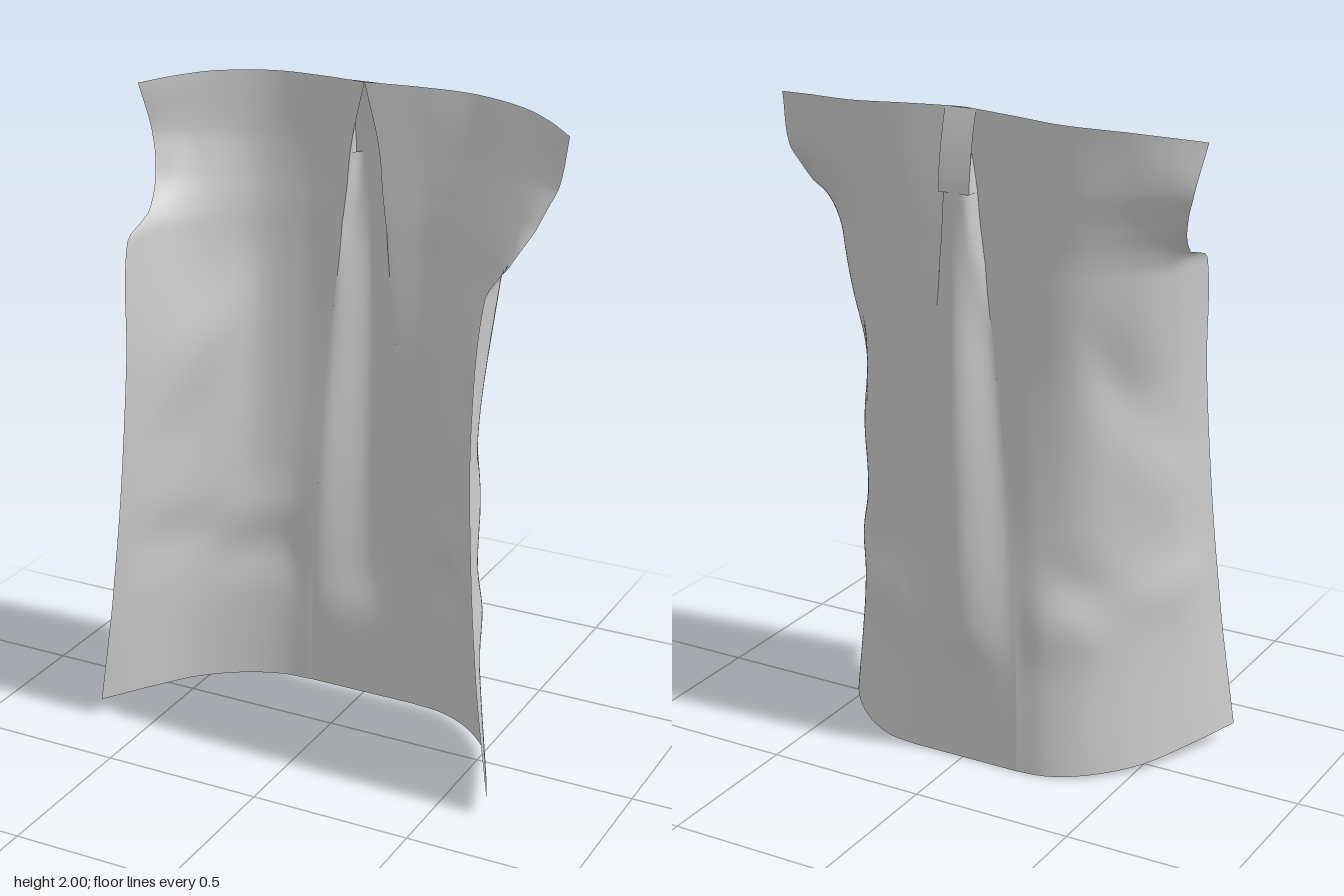
import * as THREE from 'three';

const material = new THREE.MeshStandardMaterial({ color: 0xcccccc, side: THREE.DoubleSide, roughness: 0.9 });

// Half cross-sections from hem to shoulder: height, then [x, z] from pleat to outer edge
const sections = [
  [0.00, [.18, -.232], [.28, -.218], [.39, -.16], [.50, -.05], [.58, .10], [.66, .28]],
  [0.35, [.17, -.218], [.26, -.20], [.37, -.14], [.475, -.03], [.555, .11], [.618, .275]],
  [0.75, [.145, -.203], [.24, -.19], [.345, -.145], [.45, -.035], [.53, .11], [.58, .262]],
  [1.20, [.11, -.21], [.22, -.205], [.345, -.168], [.455, -.055], [.525, .09], [.558, .24]],
  [1.56, [.074, -.216], [.21, -.226], [.36, -.195], [.485, -.09], [.545, .025], [.57, .19]],
  [1.60, [.068, -.216], [.208, -.228], [.36, -.20], [.488, -.102], [.553, -.01], [.581, .055]],
  [1.68, [.058, -.217], [.205, -.234], [.362, -.213], [.50, -.13], [.575, -.07], [.614, -.045]],
  [1.80, [.046, -.218], [.20, -.24], [.365, -.232], [.52, -.17], [.60, -.13], [.655, -.102]],
  [2.00, [0, -.212], [.17, -.24], [.33, -.255], [.50, -.21], [.60, -.155], [.69, -.085]],
];
const heights = sections.map((s) => s[0]);
const columns = [1, 2, 3, 4, 5, 6].map((c) => new THREE.CatmullRomCurve3(
  sections.map((s) => new THREE.Vector3(s[c][0], s[0], s[c][1]))));

// Curve parameter at which the cloth reaches a given height
function paramAt(y) {
  let i = 0;
  while (i < heights.length - 2 && y > heights[i + 1]) i++;
  return (i + (y - heights[i]) / (heights[i + 1] - heights[i])) / (heights.length - 1);
}

// Soft drag folds, tapering at both ends: start [x, y], end [x, y], depth, width
const folds = [
  [[.52, .85], [.38, 1.50], -.020, .055],
  [[.56, .60], [.44, 1.25], .012, .05],
  [[.52, .36], [.24, .75], -.016, .07],
];
function foldDepth(x, y) {
  // Cloth sagging over the hem band
  let sum = 0.016 * Math.exp(-(((y - 0.44 - 0.4 * x * x) / 0.11) ** 2));
  for (const [a, b, depth, width] of folds) {
    const dx = b[0] - a[0], dy = b[1] - a[1];
    const t = THREE.MathUtils.clamp(((x - a[0]) * dx + (y - a[1]) * dy) / (dx * dx + dy * dy), 0, 1);
    const d = Math.hypot(x - a[0] - t * dx, y - a[1] - t * dy);
    sum += depth * Math.sin(Math.PI * t) ** 2 * Math.exp(-((d / width) ** 2));
  }
  return sum;
}

// Plane grid whose vertices are placed by place(u, v)
function sheet(name, nu, nv, place) {
  const geometry = new THREE.PlaneGeometry(1, 1, nu, nv);
  const pos = geometry.attributes.position;
  for (let i = 0; i < pos.count; i++) {
    const p = place(pos.getX(i) + 0.5, pos.getY(i) + 0.5);
    pos.setXYZ(i, p.x, p.y, p.z);
  }
  geometry.computeVertexNormals();
  const mesh = new THREE.Mesh(geometry, material);
  mesh.name = name;
  return mesh;
}

// Hem rises and shoulder seam drops toward the sides
function edgeLift(u, y) {
  const low = Math.max(0, 1 - y / 0.4), high = Math.max(0, (y - 1.75) / 0.25);
  return 0.055 * u * u * low - 0.05 * u * u * high;
}
const lean = (y) => -0.008 * Math.max(0, 1 - y / 1.2);

// Side panel wrapping from the pleat round to the armhole and side seam
function panelPoint(u, v, side) {
  const y = 2 * v, t = paramAt(y);
  const section = new THREE.CatmullRomCurve3(columns.map((c) => c.getPoint(t)));
  const p = section.getPoint(u), tangent = section.getTangent(u);
  const d = foldDepth(p.x, y) * THREE.MathUtils.smoothstep(u, 0, 0.25) * (1 - THREE.MathUtils.smoothstep(u, 0.75, 1));
  p.x += tangent.z * d;
  p.z -= tangent.x * d;
  p.y = y + edgeLift(u, y);
  p.x = side * p.x + lean(y);
  return p;
}

// Height and depth along the centre pleat, fading out above the hem
const pleatDepth = new THREE.SplineCurve([
  [0, 0], [.25, .008], [.45, .05], [.75, .073], [1.2, .07], [1.78, .042],
].map(([y, d]) => new THREE.Vector2(d, y)));

// Back layer of the pleat at the neck
const stripZ = (v) => -0.264 + 0.042 * v ** 1.6;
const stripY = (v) => 1.765 + 0.235 * v;

export function createModel() {
  const group = new THREE.Group();
  group.name = 'garmentBackPanel';

  // Panels, and the folded pleat walls joining them to the strip
  for (const [name, side] of [['left', 1], ['right', -1]]) {
    group.add(sheet(name + 'Panel', 60, 120, (u, v) => panelPoint(u, v, side)));
    group.add(sheet(name + 'PleatWall', 2, 16, (u, v) => {
      const y = stripY(v);
      const edge = columns[0].getPoint(paramAt(y));
      return new THREE.Vector3(
        side * THREE.MathUtils.lerp(edge.x, 0.05, u), y, THREE.MathUtils.lerp(edge.z, stripZ(v), u));
    }));
  }

  // Raised ridge: box-shaped at the top, softening as it widens downwards
  group.add(sheet('pleatRidge', 32, 80, (u, v) => {
    const depth = pleatDepth.getPoint(v);
    const y = depth.y, s = 2 * u - 1;
    const base = columns[0].getPoint(paramAt(y));
    const box = THREE.MathUtils.smoothstep(y, 1.3, 1.78);
    const profile = THREE.MathUtils.lerp((1 - s * s) ** 2, 1 - s ** 6, box);
    return new THREE.Vector3(base.x * s + lean(y), y, base.z - depth.x * profile);
  }));

  group.add(sheet('pleatStrip', 6, 12, (u, v) => new THREE.Vector3(0.1 * u - 0.05, stripY(v), stripZ(v))));

  return group;
}
